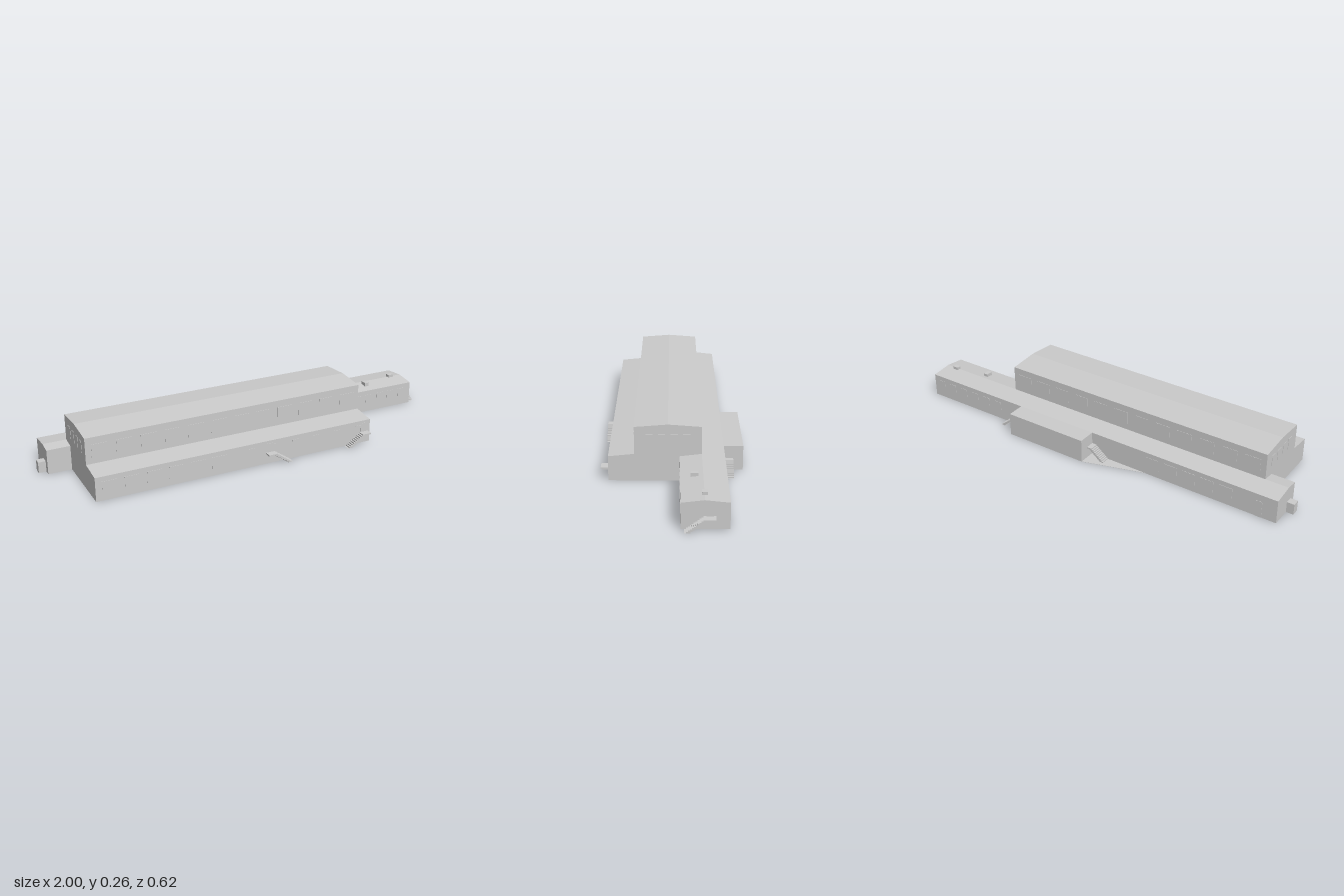
import * as THREE from 'three';

const mat = new THREE.MeshStandardMaterial({ color: 0xcccccc, flatShading: true });

function add(parent, name, geo) {
  const m = new THREE.Mesh(geo, mat);
  m.name = name;
  parent.add(m);
  return m;
}

// box given by its two corners
function block(parent, name, x0, x1, y0, y1, z0, z1) {
  const m = add(parent, name, new THREE.BoxGeometry(x1 - x0, y1 - y0, z1 - z0));
  m.position.set((x0 + x1) / 2, (y0 + y1) / 2, (z0 + z1) / 2);
  return m;
}

// [z, y] outline extruded along x
function prism(parent, name, outline, x0, x1) {
  const shape = new THREE.Shape(outline.map(([z, y]) => new THREE.Vector2(-z, y)));
  const geo = new THREE.ExtrudeGeometry(shape, { depth: x1 - x0, bevelEnabled: false });
  geo.rotateY(Math.PI / 2).translate(x0, 0, 0);
  return add(parent, name, geo);
}

// folded stair slab: landing at the origin, steps descending towards +x, width along z
function stairs(parent, name, landing, run, width, steps = 10) {
  const h = 0.056, t = 0.006, dx = run / steps, dy = h / steps;
  const pts = [[0, h], [landing, h]];
  for (let i = 1; i <= steps; i++) {
    pts.push([landing + (i - 1) * dx, h - i * dy], [landing + i * dx, h - i * dy]);
  }
  pts.push([landing + run - 0.012, 0]);
  for (let i = steps - 1; i >= 1; i--) {
    const y = Math.max(h - i * dy - t, 0);
    pts.push([landing + i * dx - 0.01, y], [landing + (i - 1) * dx - 0.01, y]);
  }
  pts.push([landing - 0.01, h - t], [0, h - t]);
  const shape = new THREE.Shape(pts.map(([x, y]) => new THREE.Vector2(x, y)));
  const geo = new THREE.ExtrudeGeometry(shape, { depth: width, bevelEnabled: false });
  geo.translate(0, 0, -width / 2);
  return add(parent, name, geo);
}

// thin panes on a wall facing +z or -z
function paneRow(parent, name, xs, w, y0, y1, z) {
  const row = new THREE.Group();
  row.name = name;
  xs.forEach((x) => block(row, 'window', x - w / 2, x + w / 2, y0, y1, z - 0.0015, z + 0.0015));
  parent.add(row);
}

// thin panes on an end wall facing +x or -x
function endPanes(parent, name, zs, w, y0, y1, x) {
  const row = new THREE.Group();
  row.name = name;
  zs.forEach((z) => block(row, 'window', x - 0.0015, x + 0.0015, y0, y1, z - w / 2, z + w / 2));
  parent.add(row);
}

const spread = (a, b, n) => Array.from({ length: n }, (_, i) => a + ((b - a) * i) / (n - 1));

export function createModel() {
  const g = new THREE.Group();
  g.name = 'building';

  // tall hall with low aisles front and rear
  prism(g, 'mainHall', [
    [0.278, 0], [0.278, 0.113], [0.165, 0.124], [0.165, 0.248], [0.02, 0.259],
    [-0.125, 0.248], [-0.125, 0.124], [-0.225, 0.113], [-0.225, 0],
  ], -0.855, 0.515);

  // wings at both ends
  prism(g, 'leftWing', [[-0.03, 0], [-0.03, 0.113], [-0.125, 0.124], [-0.225, 0.113], [-0.225, 0]], 0.515, 0.965);
  prism(g, 'rightWing', [[-0.065, 0], [-0.065, 0.117], [-0.125, 0.124], [-0.225, 0.113], [-0.225, 0]], -0.965, -0.855);

  // rear extension and the ground apron beside it
  block(g, 'rearExtension', -0.02, 0.4, 0, 0.113, -0.311, -0.225);
  const apron = new THREE.Shape([[-0.31, 0.225], [-0.02, 0.225], [-0.02, 0.311]].map((p) => new THREE.Vector2(...p)));
  const apronGeo = new THREE.ExtrudeGeometry(apron, { depth: 0.001, bevelEnabled: false }).rotateX(-Math.PI / 2);
  add(g, 'apron', apronGeo);

  // small items on the roof and at the end wall
  block(g, 'roofVent', 0.715, 0.737, 0.112, 0.136, -0.106, -0.073);
  block(g, 'roofVent', 0.888, 0.918, 0.116, 0.136, -0.138, -0.115);
  block(g, 'endBox', -1, -0.965, 0, 0.052, -0.13, -0.095);

  // entrance stairs
  stairs(g, 'frontStairs', 0.045, 0.08, 0.033).position.set(-0.045, 0, 0.2945);
  const s2 = stairs(g, 'frontStairs', 0.045, 0.08, 0.033);
  s2.rotation.y = Math.PI;
  s2.position.set(0.503, 0, 0.2945);
  const s3 = stairs(g, 'endStairs', 0.05, 0.075, 0.035);
  s3.rotation.y = -Math.PI / 2;
  s3.position.set(0.9825, 0, -0.169);
  stairs(g, 'rearStairs', 0.03, 0.068, 0.042).position.set(0.4, 0, -0.246);
  const s5 = stairs(g, 'rearStairs', 0.025, 0.07, 0.042);
  s5.rotation.y = Math.PI;
  s5.position.set(-0.02, 0, -0.246);

  // upper hall windows
  const upper = spread(-0.79, 0.45, 12);
  paneRow(g, 'upperFrontWindows', upper, 0.075, 0.155, 0.215, 0.165);
  paneRow(g, 'upperRearWindows', upper, 0.075, 0.155, 0.215, -0.125);
  for (const x of [-0.855, 0.515]) endPanes(g, 'upperEndWindows', spread(-0.06, 0.1, 4), 0.03, 0.16, 0.215, x);

  // lower windows
  paneRow(g, 'lowerFrontWindows', spread(-0.79, -0.28, 6), 0.07, 0.035, 0.09, 0.278);
  paneRow(g, 'lowerSmallWindows', spread(-0.12, 0.45, 6), 0.035, 0.08, 0.092, 0.278);
  paneRow(g, 'lowerRearWindows', spread(-0.72, -0.35, 5), 0.065, 0.035, 0.09, -0.225);
  paneRow(g, 'wingRearWindows', spread(0.55, 0.92, 6), 0.04, 0.05, 0.09, -0.225);
  paneRow(g, 'wingFrontWindows', spread(0.58, 0.91, 6), 0.04, 0.05, 0.09, -0.03);
  endPanes(g, 'wingEndWindows', [-0.195, -0.075], 0.025, 0.06, 0.095, 0.965);

  // doors
  endPanes(g, 'hallDoor', [0.021], 0.068, 0, 0.089, 0.515);
  endPanes(g, 'wingDoor', [-0.145], 0.03, 0.056, 0.1, 0.965);
  paneRow(g, 'frontDoors', [-0.022, 0.48], 0.03, 0.056, 0.1, 0.278);
  paneRow(g, 'rearDoor', [-0.88], 0.03, 0, 0.08, -0.225);
  return g;
}
